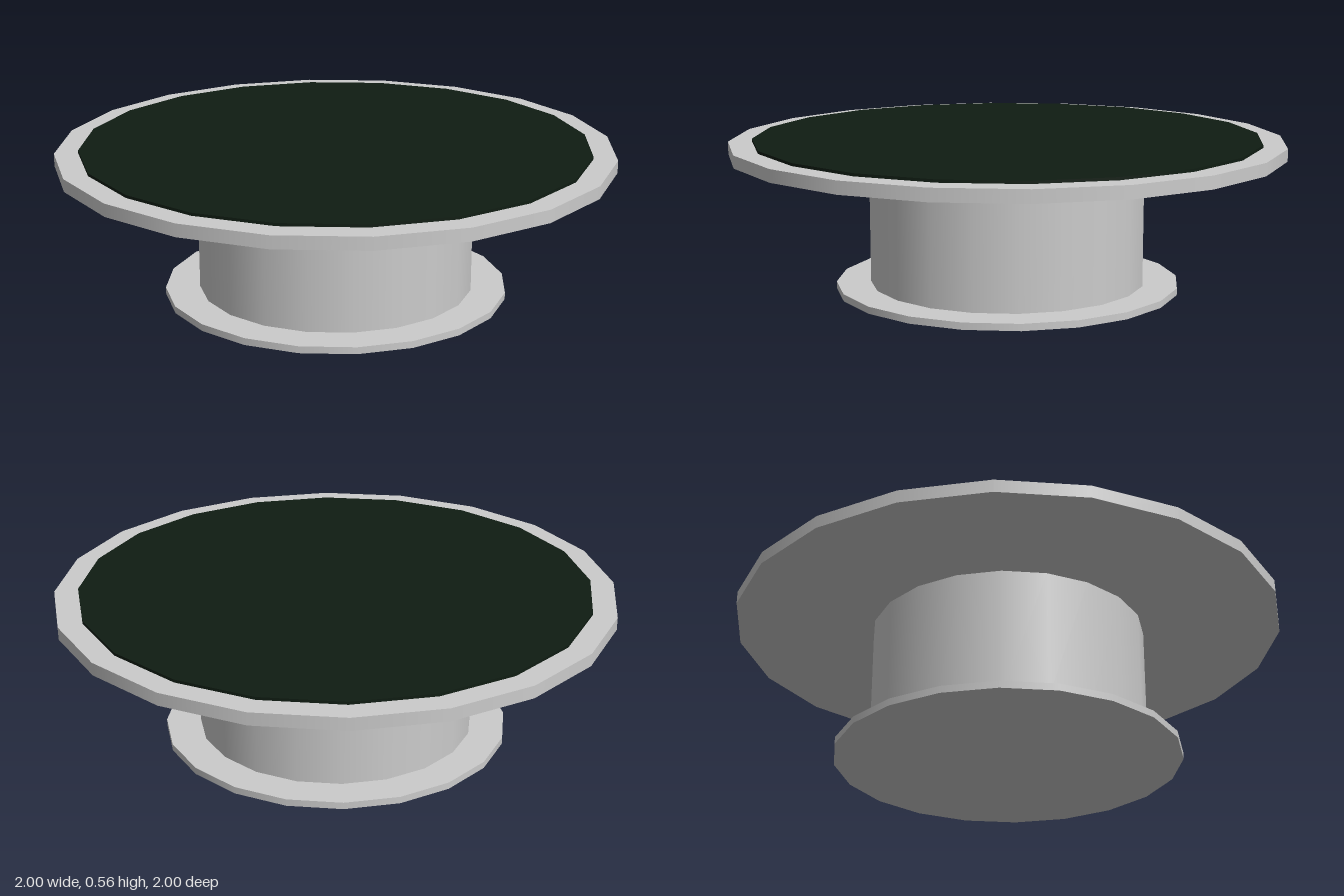
import * as THREE from 'three';

const SIDES = 20;

export function createModel() {
  const table = new THREE.Group();
  table.name = 'roundPedestalTable';

  const grey = new THREE.MeshStandardMaterial({ color: 0xcccccc });
  const dark = new THREE.MeshStandardMaterial({ color: 0x0f1c12 });

  // Adds an upright disc or drum between two heights
  const addDrum = (name, radius, bottom, top, material) => {
    const geometry = new THREE.CylinderGeometry(radius, radius, top - bottom, SIDES);
    const mesh = new THREE.Mesh(geometry, material);
    mesh.name = name;
    mesh.position.y = (bottom + top) / 2;
    table.add(mesh);
  };

  addDrum('basePlate', 0.625, 0, 0.025, grey);
  addDrum('pedestal', 0.5, 0.025, 0.5, grey);
  addDrum('tableTop', 1, 0.5, 0.545, grey);
  // Thin dark surface laid on the top, leaving a grey rim
  addDrum('topSurface', 0.915, 0.545, 0.555, dark);

  return table;
}
